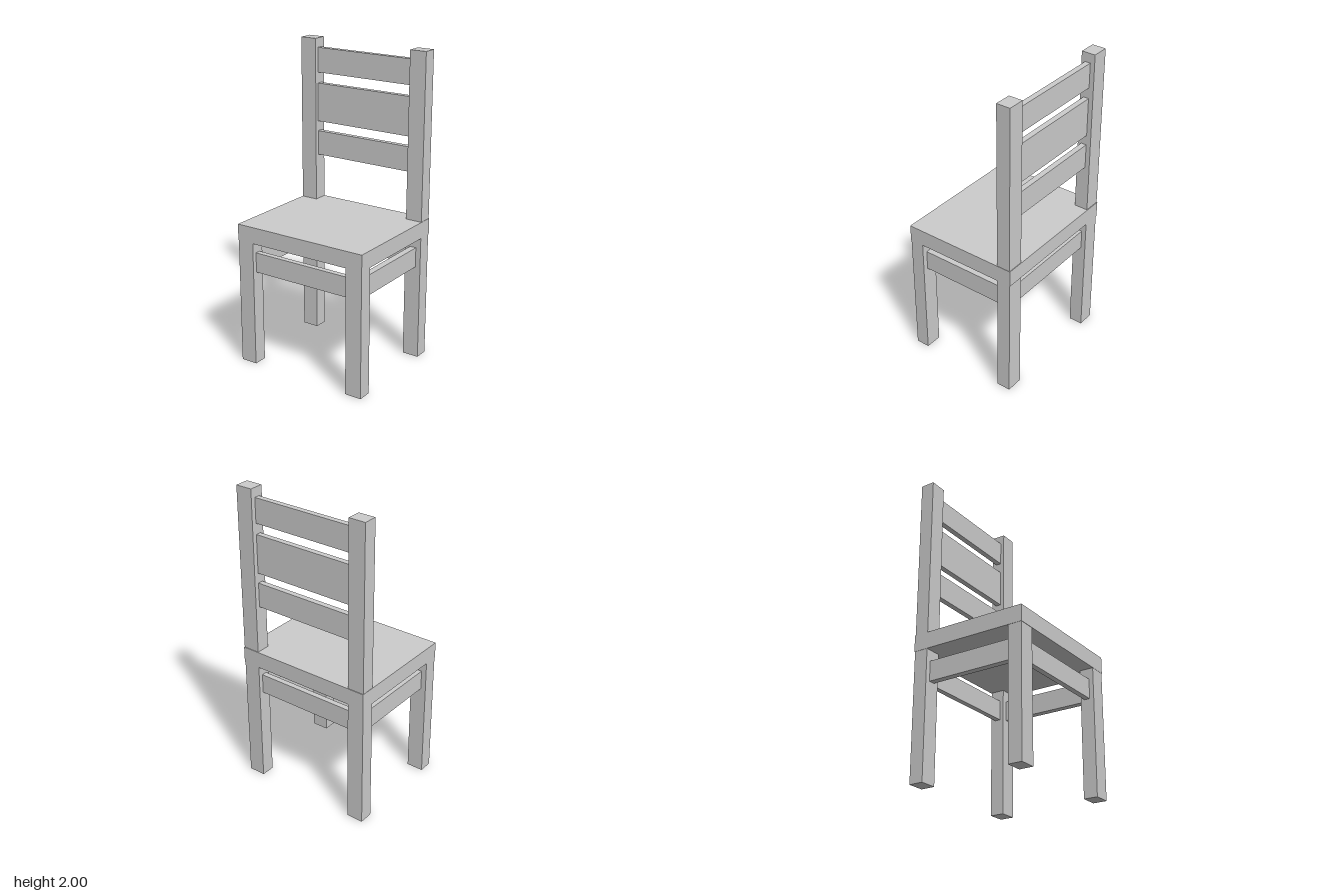
import * as THREE from 'three';

const material = new THREE.MeshStandardMaterial({ color: 0xcccccc, flatShading: true });

// Box given by its [min, max] extent along each axis
function box(name, [x0, x1], [y0, y1], [z0, z1]) {
  const mesh = new THREE.Mesh(new THREE.BoxGeometry(x1 - x0, y1 - y0, z1 - z0), material);
  mesh.position.set((x0 + x1) / 2, (y0 + y1) / 2, (z0 + z1) / 2);
  mesh.name = name;
  return mesh;
}

export function createModel() {
  const chair = new THREE.Group();
  chair.name = 'chair';

  const inner = 0.347, outer = 0.458;   // legs, across x
  const front = [0.292, 0.383];         // front legs, along z
  const back = [-0.381, -0.29];         // back posts, along z
  const railY = [0.625, 0.755];
  const span = [-inner, inner];

  // Seat board
  chair.add(box('seat', [-0.46, 0.46], [0.825, 0.932], [-0.385, 0.385]));

  // Legs, back posts and side rails, mirrored
  for (const [side, s] of [['left', 1], ['right', -1]]) {
    const across = (a, b) => (s > 0 ? [a, b] : [-b, -a]);
    chair.add(
      box(`${side}FrontLeg`, across(inner, outer), [0, 0.825], front),
      box(`${side}BackPost`, across(inner, outer), [0, 2], back),
      box(`${side}SideRail`, across(0.381, 0.424), railY, [back[1], front[0]])
    );
  }

  // Front and back rails under the seat
  chair.add(box('frontRail', span, railY, [0.318, 0.354]));
  chair.add(box('backRail', span, railY, [-0.351, -0.315]));

  // Backrest slats
  [[1.235, 1.395], [1.46, 1.71], [1.78, 1.94]].forEach((y, i) => {
    chair.add(box(`backSlat${i + 1}`, span, y, [-0.351, -0.315]));
  });

  return chair;
}
